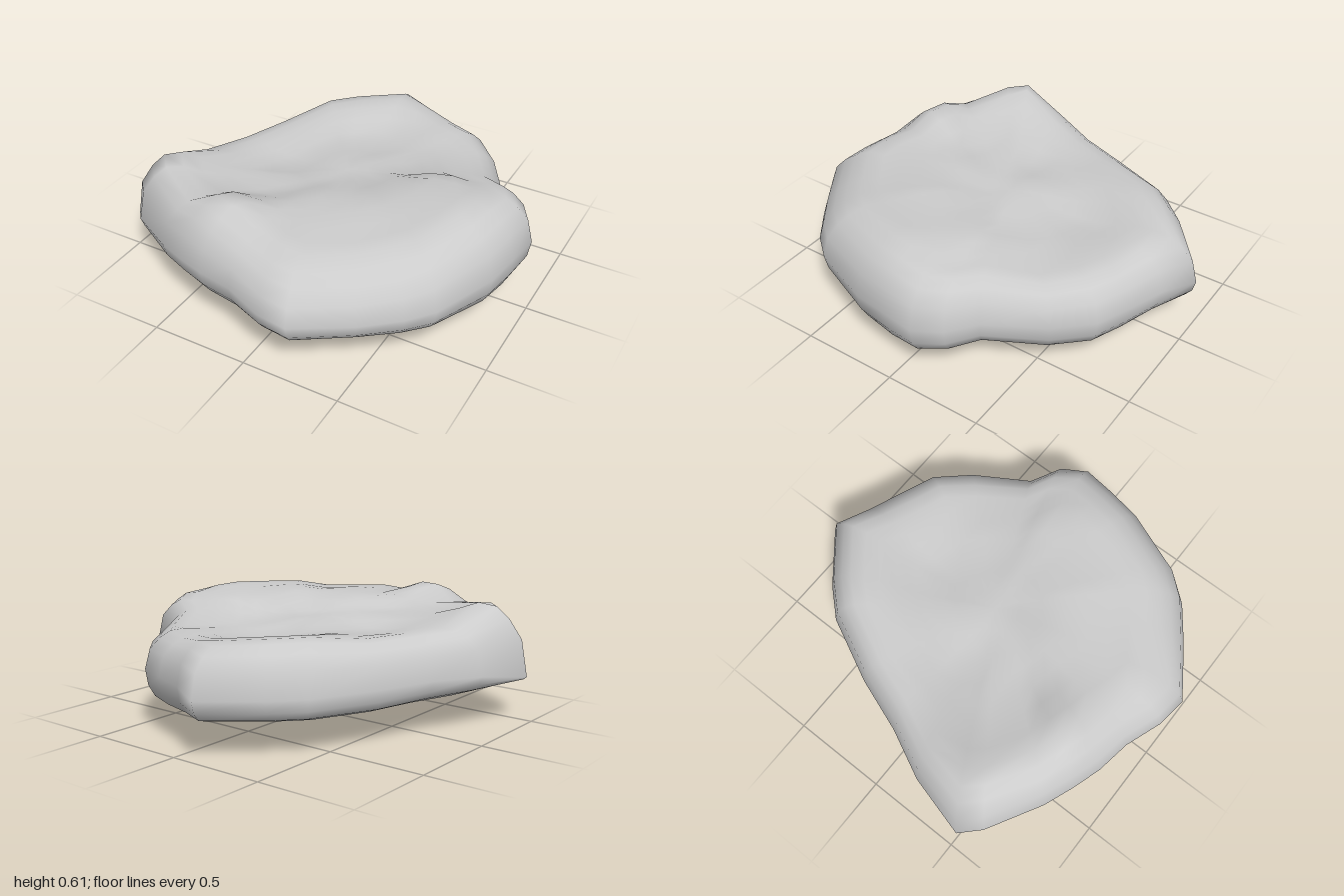
import * as THREE from 'three';

// Outline, clockwise from the rear tip: x, z, height of widest point, height of lower edge
const outline = [
  [-0.12, -1.0, 0.28, 0.18], [0.06, -0.91, 0.3, 0.17], [0.25, -0.84, 0.3, 0.16],
  [0.42, -0.77, 0.3, 0.16], [0.57, -0.61, 0.3, 0.16], [0.73, -0.33, 0.3, 0.17],
  [0.88, -0.24, 0.32, 0.18], [0.955, -0.11, 0.32, 0.17], [0.93, 0.07, 0.32, 0.15],
  [0.9, 0.25, 0.31, 0.16], [0.77, 0.58, 0.31, 0.19], [0.67, 0.7, 0.31, 0.2],
  [0.5, 0.83, 0.3, 0.2], [0.24, 1.0, 0.31, 0.2], [0.08, 0.98, 0.31, 0.2],
  [-0.12, 0.91, 0.33, 0.2], [-0.3, 0.88, 0.33, 0.2], [-0.45, 0.83, 0.32, 0.2],
  [-0.6, 0.77, 0.31, 0.2], [-0.87, 0.61, 0.27, 0.2], [-0.96, 0.51, 0.22, 0.2],
  [-0.88, 0.2, 0.27, 0.2], [-0.76, -0.05, 0.28, 0.19], [-0.66, -0.33, 0.28, 0.18],
  [-0.5, -0.66, 0.28, 0.18], [-0.37, -0.8, 0.28, 0.18],
];

// Sampled heights of the top: x, z, y (front ridge, diagonal valley, rear slab)
const heights = [
  [-0.77, 0.43, 0.595], [-0.52, 0.5, 0.51], [-0.32, 0.67, 0.615], [0, 0.66, 0.55],
  [0.1, 0.4, 0.55], [0.35, 0.3, 0.57], [0.65, 0.1, 0.58], [0.74, -0.1, 0.55],
  [0.5, -0.04, 0.56], [0.58, 0.4, 0.56], [0.3, 0.65, 0.53], [-0.3, 0.3, 0.495],
  [0, 0, 0.495], [0.25, -0.25, 0.47], [0.5, -0.4, 0.45], [0, -0.4, 0.45],
  [0.2, -0.6, 0.475], [-0.1, -0.8, 0.51], [-0.38, -0.58, 0.52], [-0.52, -0.2, 0.485],
  [-0.66, 0.12, 0.49], [-0.36, 0.03, 0.455], [0.34, -0.66, 0.49], [0.48, -0.56, 0.47],
  [0.63, -0.26, 0.505],
];

// Blend the samples by distance
function topHeight(x, z) {
  let sum = 0, total = 0;
  for (const [px, pz, py] of heights) {
    const w = 1 / ((x - px) ** 2 + (z - pz) ** 2 + 0.008) ** 2;
    sum += w * py;
    total += w;
  }
  return sum / total;
}

// One closed loop of the slab, shrunk by t towards a middle at z = centre
function ring(t, heightAt, centre = 0) {
  return outline.map(([x, z, mid, low]) => {
    const px = x * t, pz = z * t + centre * (1 - t);
    return new THREE.Vector3(px, heightAt(px, pz, mid, low), pz);
  });
}

function createSlab() {
  // Underside: a small flat keel, then an even rise to the lower edge
  const bottom = (t) => ring(t, (x, z, mid, low) => 0.003 + low * ((t - 0.2) / 0.8) ** 1.05, 0.08);
  // Rounded side, gentler towards the front tip
  const shoulder = (t, k) => ring(t, (x, z, mid) =>
    mid + (topHeight(x, z) - mid) * (k - 0.16 * Math.max(0, z + Math.min(0, x))));
  const rings = [
    ...[0.2, 0.36, 0.52, 0.68, 0.82].map(bottom),
    ring(0.95, (x, z, mid, low) => low),         // lower edge
    ring(0.985, (x, z, mid, low) => low + (mid - low) * 0.4),
    ring(1, (x, z, mid) => mid),                 // widest line
    shoulder(0.97, 0.52), shoulder(0.91, 0.79), shoulder(0.85, 0.95),
    ...[0.77, 0.68, 0.58, 0.47, 0.36, 0.24, 0.12].map((t) => ring(t, topHeight)),
  ];

  const n = outline.length;
  const points = rings.flat();
  const index = [];
  for (let r = 0; r < rings.length - 1; r++) {
    for (let i = 0; i < n; i++) {
      const a = r * n + i, b = r * n + (i + 1) % n;
      index.push(a, a + n, b, b, a + n, b + n);
    }
  }
  // Close the bottom and the top with fans
  const low = points.length, high = low + 1, last = (rings.length - 1) * n;
  points.push(new THREE.Vector3(0, 0, 0.08), new THREE.Vector3(0, topHeight(0, 0), 0));
  for (let i = 0; i < n; i++) {
    const j = (i + 1) % n;
    index.push(low, i, j, high, last + j, last + i);
  }
  const geometry = new THREE.BufferGeometry().setFromPoints(points);
  geometry.setIndex(index);
  geometry.computeVertexNormals();
  return geometry;
}

export function createModel() {
  const group = new THREE.Group();
  group.name = 'flatRock';
  const rock = new THREE.Mesh(createSlab(), new THREE.MeshStandardMaterial({ color: 0xcccccc }));
  rock.name = 'rockSlab';
  group.add(rock);
  return group;
}
